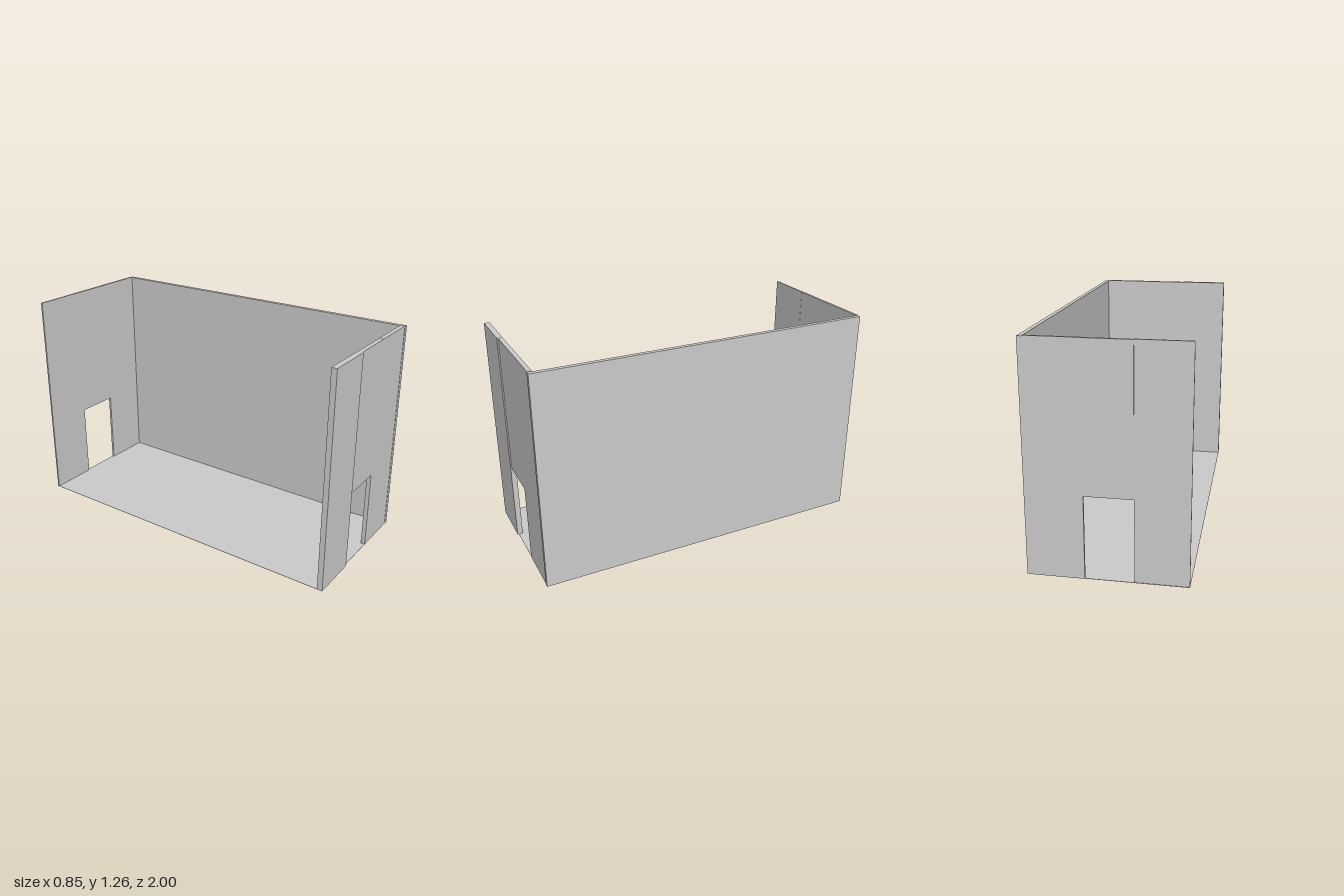
import * as THREE from 'three';

const W = 0.425;               // half width
const INNER = 0.4;             // inner face of the side wall
const H = 1.265;               // wall height
const DOOR = { x0: -0.14, x1: 0.118, top: 0.46 };

export function createModel() {
  const group = new THREE.Group();
  const material = new THREE.MeshStandardMaterial({ color: 0xcccccc, flatShading: true });

  // Box given by its minimum and maximum corners
  const slab = (name, parent, [x0, y0, z0], [x1, y1, z1]) => {
    const mesh = new THREE.Mesh(new THREE.BoxGeometry(x1 - x0, y1 - y0, z1 - z0), material);
    mesh.position.set((x0 + x1) / 2, (y0 + y1) / 2, (z0 + z1) / 2);
    mesh.name = name;
    parent.add(mesh);
  };

  // End wall in three panels around a doorway; the outer panel sits slightly forward
  const endWall = (name, z0, z1, outerZ0, outerZ1) => {
    const wall = new THREE.Group();
    wall.name = name;
    slab('outerPanel', wall, [-W, 0, outerZ0], [DOOR.x0, H, outerZ1]);
    slab('doorLintel', wall, [DOOR.x0, DOOR.top, z0], [DOOR.x1, H - 0.001, z1]);
    slab('innerPanel', wall, [DOOR.x1, 0, z0], [INNER, H, z1]);
    group.add(wall);
  };

  slab('floor', group, [-W, 0, -0.998], [INNER, 0.002, 0.992]);
  slab('sideWall', group, [INNER, 0, -1], [W, H - 0.003, 0.995]);
  endWall('frontWall', 0.968, 0.993, 0.968, 1);
  endWall('backWall', -1, -0.986, -0.995, -0.985);

  return group;
}
